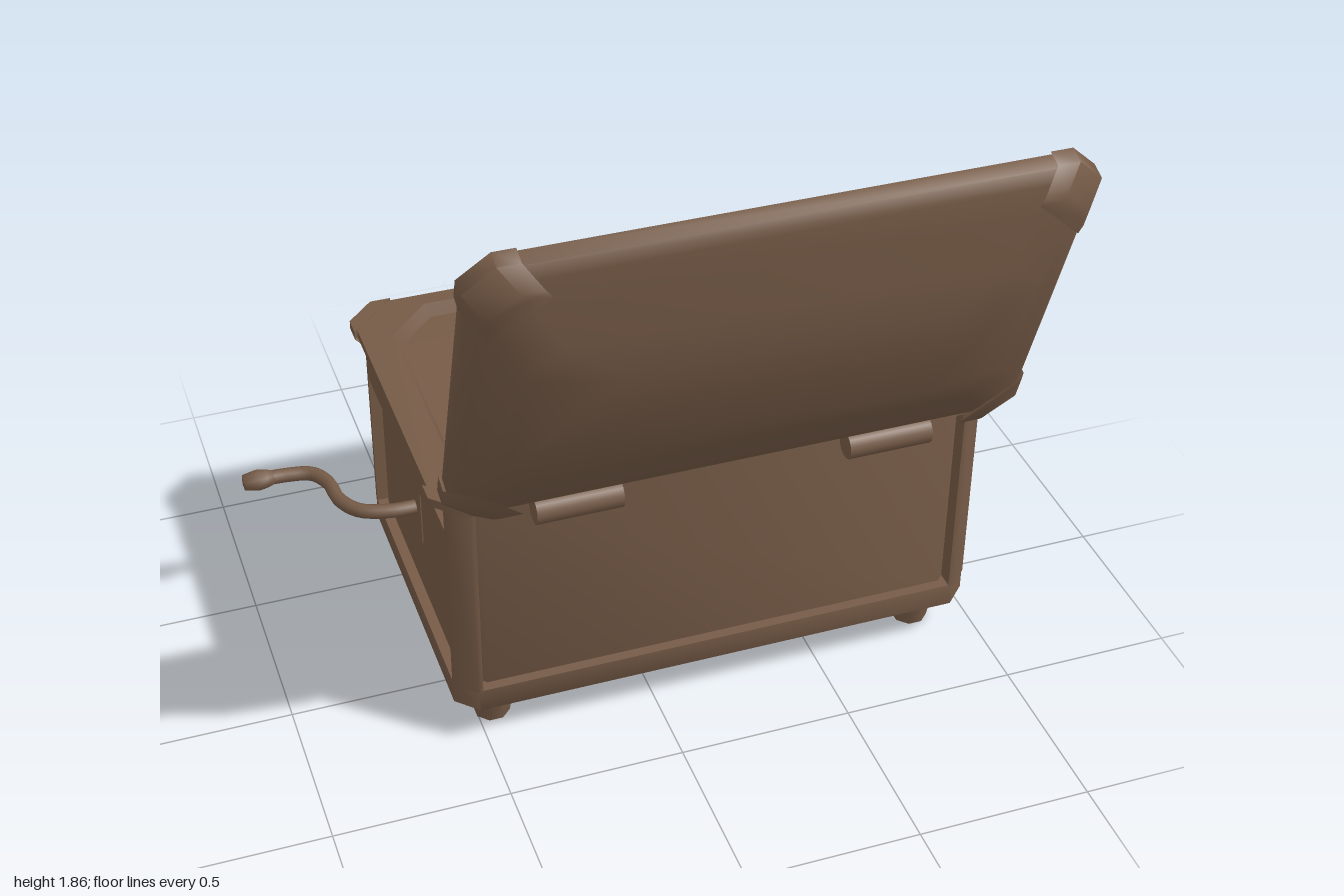
import * as THREE from 'three';
import { toCreasedNormals } from 'three/addons/utils/BufferGeometryUtils.js';

const wood = new THREE.MeshStandardMaterial({ color: 0x765b47 });
wood.name = 'brown wood';
const brass = new THREE.MeshStandardMaterial({ color: 0x9c9238 });
brass.name = 'dull yellow';

// Skin a list of rings (each an array of [x, y, z]); rings run outward side first
function loft(rings, capStart, capEnd) {
  const pos = [];
  const tri = (a, b, c) => pos.push(...a, ...b, ...c);
  const n = rings[0].length;
  for (let i = 0; i < rings.length - 1; i++) {
    const a = rings[i], b = rings[i + 1];
    for (let j = 0; j < n; j++) {
      const k = (j + 1) % n;
      tri(a[j], b[j], b[k]);
      tri(a[j], b[k], a[k]);
    }
  }
  const last = rings[rings.length - 1];
  for (let j = 1; j < n - 1; j++) {
    if (capStart) tri(rings[0][0], rings[0][j], rings[0][j + 1]);
    if (capEnd) tri(last[0], last[j + 1], last[j]);
  }
  const g = new THREE.BufferGeometry();
  g.setAttribute('position', new THREE.Float32BufferAttribute(pos, 3));
  return toCreasedNormals(g, 0.9);
}

// Rectangle with cut corners at height y
function oct(y, x0, x1, z0, z1, c) {
  return [[x1, z0 + c], [x1, z1 - c], [x1 - c, z1], [x0 + c, z1],
    [x0, z1 - c], [x0, z0 + c], [x0 + c, z0], [x1 - c, z0]].map(([x, z]) => [x, y, z]);
}

// Polygon given as inward offsets from one corner of a rectangle
function cornerRing(y, pts, inset, x, z, sx, sz) {
  const r = pts.map(([dx, dz]) => [x - sx * (dx + inset), y, z - sz * (dz + inset)]);
  return sx * sz < 0 ? r.reverse() : r;
}

export function createModel() {
  const root = new THREE.Group();
  root.name = 'recordPlayer';
  const add = (name, geo, mat = wood, parent = root) => {
    const m = new THREE.Mesh(geo, mat);
    m.name = name;
    parent.add(m);
    return m;
  };
  const box = (name, x0, x1, y0, y1, z0, z1, parent = root) => {
    const m = add(name, new THREE.BoxGeometry(x1 - x0, y1 - y0, z1 - z0), wood, parent);
    m.position.set((x0 + x1) / 2, (y0 + y1) / 2, (z0 + z1) / 2);
    return m;
  };
  const X0 = -0.58, X1 = 0.965, Z0 = -0.705, Z1 = 0.285;
  const body = (y, i, c = 0.06) => oct(y, X0 + i, X1 - i, Z0 + i, Z1 - i, c);
  const signs = [[1, 1], [1, -1], [-1, 1], [-1, -1]];

  // Cabinet: recessed panels, base band, corner posts
  add('cabinetPanels', loft([body(0.19, 0.03), body(0.81, 0.03)]));
  add('baseBand', loft([body(0.07, 0.06), body(0.125, 0), body(0.195, 0), body(0.195, 0.035)], true));
  const postPts = [[0, 0.07], [0, 0.055], [0.055, 0], [0.07, 0], [0.07, 0.07]];
  for (const [sx, sz] of signs) {
    const x = sx > 0 ? X1 : X0, z = sz > 0 ? Z1 : Z0;
    add('cornerPost', loft([0.19, 0.81].map((y) => cornerRing(y, postPts, 0, x, z, sx, sz))));
  }
  // Rails on the two sides and bars on the back
  for (const [a, b] of [[X0, X0 + 0.04], [X1 - 0.04, X1]]) {
    box('sideRail', a, b, 0.65, 0.73, Z0 + 0.06, Z1 - 0.06);
    box('sideTopRail', a, b, 0.79, 0.81, Z0 + 0.06, Z1 - 0.06);
  }
  box('panelBar', 0.5, 0.64, 0.19, 0.81, Z0, Z0 + 0.04);
  box('panelBar', -0.26, -0.12, 0.19, 0.81, Z0, Z0 + 0.04);

  // Feet and the runners between them
  for (const x of [-0.455, 0.84]) {
    for (const z of [0.155, -0.575]) {
      add('foot', new THREE.CylinderGeometry(0.066, 0.052, 0.08, 8).rotateY(Math.PI / 8)).position.set(x, 0.04, z);
    }
    box('runner', x - 0.03, x + 0.03, 0.05, 0.08, -0.52, 0.1);
  }

  // Top rim with a sunken deck
  const rim = (y, i, c = 0.08) => oct(y, -0.61 + i, 0.99 - i, -0.72 + i, 0.29 - i, c);
  const well = [oct(0.85, -0.52, 0.9, -0.67, 0.238, 0.127), oct(0.81, -0.5, 0.88, -0.655, 0.222, 0.12)];
  add('topRim', loft([rim(0.8, 0.07), rim(0.8, 0.035), rim(0.825, 0), rim(0.85, 0), ...well]));
  const bracketPts = [[0, 0.14], [0, 0.08], [0.08, 0], [0.14, 0]];
  for (const [sx, sz] of signs) {
    const x = sx > 0 ? 1 : -0.62, z = sz > 0 ? 0.3 : -0.73;
    add('rimCorner', loft([[0.8, 0.04], [0.825, 0], [0.851, 0]].map(
      ([y, i]) => cornerRing(y, bracketPts, i, x, z, sx, sz)), true, true));
  }

  // Deck with an opening for the record well
  const toShape = (pts, C = THREE.Shape) => new C(pts.map(([x, z]) => new THREE.Vector2(x, -z)));
  const deck = toShape(well[1].map((p) => [p[0], p[2]]));
  const [wx0, wx1, wz0, wz1] = [0.515, 0.71, -0.605, 0.165];
  deck.holes.push(toShape([[wx0, wz0], [wx1, wz0], [wx1, wz1], [wx0, wz1]], THREE.Path));
  const flat = (s, d) => new THREE.ExtrudeGeometry(s, { depth: d, bevelEnabled: false }).rotateX(-Math.PI / 2);
  add('deck', flat(deck, 0.01)).position.y = 0.8;
  const t = 0.01;
  box('wellFloor', wx0, wx1, 0.2, 0.21, wz0, wz1);
  box('wellWall', wx0 - t, wx0, 0.2, 0.805, wz0, wz1);
  box('wellWall', wx1, wx1 + t, 0.2, 0.805, wz0, wz1);
  box('wellWall', wx0, wx1, 0.2, 0.805, wz0 - t, wz0);
  box('wellWall', wx0, wx1, 0.2, 0.805, wz1, wz1 + t);

  // Stored records, two leaning and one upright
  for (const [x, lean] of [[0.595, 0.26], [0.63, 0.17], [0.697, 0]]) {
    const r = add('storedRecord', new THREE.CylinderGeometry(0.332, 0.332, 0.008, 18).rotateZ(Math.PI / 2));
    r.position.set(x, 0.553, -0.21);
    r.rotation.z = lean;
  }

  // Turntable, label and spindle
  const cx = -0.063, cz = -0.21;
  add('turntable', new THREE.CylinderGeometry(0.348, 0.348, 0.038, 20)).position.set(cx, 0.828, cz);
  const label = toShape([[-0.06, -0.085], [0.07, -0.085], [0.07, -0.06], [0.1, -0.055], [0.1, -0.01],
    [0.075, 0], [0.075, 0.06], [0.025, 0.065], [0.02, 0.1], [-0.025, 0.1], [-0.03, 0.065],
    [-0.092, 0.05], [-0.092, 0.01], [-0.08, 0], [-0.092, -0.015], [-0.092, -0.07], [-0.06, -0.07]].reverse());
  add('recordLabel', flat(label, 0.002), brass).position.set(cx, 0.847, cz);
  add('spindle', new THREE.CylinderGeometry(0.024, 0.03, 0.02, 10)).position.set(cx, 0.848, cz);

  // Tone arm
  const arm = new THREE.LineCurve3(new THREE.Vector3(0.28, 0.85, 0.02), new THREE.Vector3(0.225, 0.853, -0.26));
  add('toneArm', new THREE.TubeGeometry(arm, 1, 0.008, 6), brass);
  box('needleHead', 0.207, 0.237, 0.848, 0.862, -0.29, -0.25);
  const pivot = add('toneArmBase', new THREE.CylinderGeometry(0.095, 0.095, 0.05, 4));
  pivot.position.set(0.285, 0.832, 0.105);
  pivot.rotation.y = -0.1;

  // Crank on the side
  box('crankPlate', X0 + 0.026, X0 + 0.036, 0.38, 0.56, -0.3, -0.17);
  const path = new THREE.CatmullRomCurve3([[-0.54, -0.23], [-0.63, -0.235], [-0.71, -0.265], [-0.752, -0.33],
    [-0.765, -0.42], [-0.8, -0.475], [-0.87, -0.492], [-0.95, -0.495]].map(([x, z]) => new THREE.Vector3(x, 0.468, z)));
  add('crank', new THREE.TubeGeometry(path, 28, 0.021, 8));
  const knob = new THREE.LatheGeometry([[0, 0], [0.024, 0.004], [0.032, 0.045], [0.028, 0.07], [0.018, 0.1], [0, 0.1]]
    .map(([r, y]) => new THREE.Vector2(r, y)), 10);
  const handle = add('crankHandle', knob.rotateZ(-Math.PI / 2));
  handle.position.set(-1, 0.468, -0.495);

  // Hinges
  for (const x of [-0.25, 0.63]) {
    add('hingeBarrel', new THREE.CylinderGeometry(0.04, 0.04, 0.24, 14).rotateZ(Math.PI / 2)).position.set(x, 0.842, 0.345);
    const leaf = box('hingeLeaf', x - 0.12, x + 0.12, 0.855, 0.867, 0.24, 0.35);
    leaf.rotation.x = -0.25;
    const lidLeaf = box('hingeLidLeaf', x - 0.12, x + 0.12, 0.84, 0.96, 0.305, 0.317);
    lidLeaf.rotation.x = 0.34;
  }

  // Open lid, modelled lying closed and swung up around the hinge line
  const lid = new THREE.Group();
  lid.name = 'lid';
  lid.position.set(0, 0.886, 0.306);
  lid.rotation.x = 1.911;
  root.add(lid);
  const L = (y, ix, iz, c = 0.08) => oct(y, -0.61 + ix, 0.99 - ix, -1.02 + iz, -0.01 - iz, c);
  add('lidShell', loft([
    L(0.04, 0.11, 0.07, 0.12), L(0, 0.09, 0.055, 0.127), L(0, 0, 0), L(0.045, 0, 0),
    L(0.07, 0.03, 0.03), L(0.095, 0.07, 0.12, 0.09), L(0.14, 0.13, 0.22, 0.1),
    L(0.175, 0.26, 0.345, 0.12)], true, true), wood, lid);
  for (const [sx, sz] of signs) {
    const x = sx > 0 ? 1 : -0.62, z = sz > 0 ? 0 : -1.03;
    add('lidCorner', loft([[-0.001, 0], [0.045, 0], [0.1, 0.045], [0.11, 0.06]].map(
      ([y, i]) => cornerRing(y, bracketPts, i, x, z, sx, sz)), true, true), wood, lid);
  }
  return root;
}
